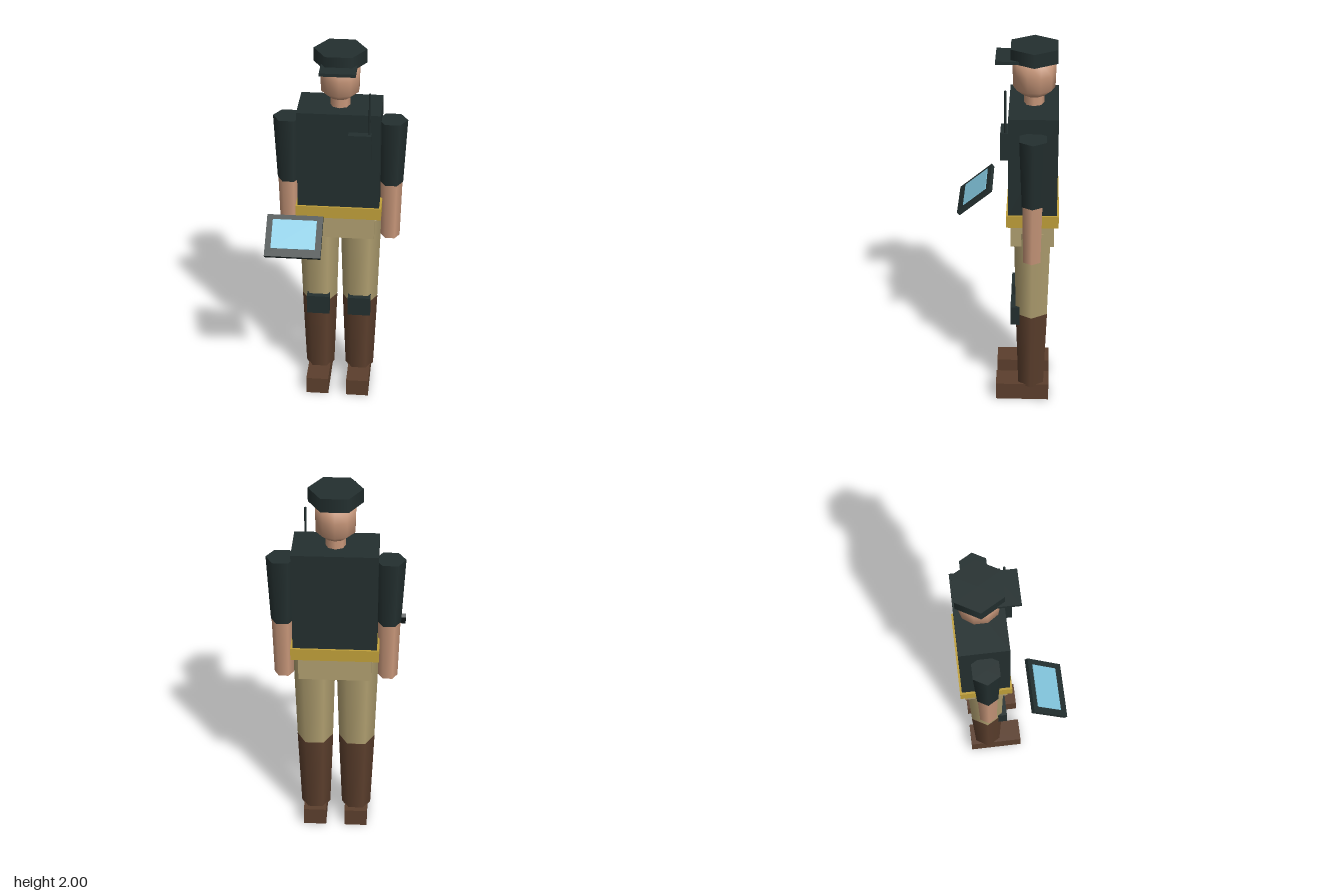
import * as THREE from 'three';

const mat = (name, color) => {
  const m = new THREE.MeshStandardMaterial({ color });
  m.name = name;
  return m;
};

export function createModel() {
  const dark = mat('dark fabric', 0x232f2f);
  const skin = mat('skin', 0xc8977a);
  const khaki = mat('khaki', 0xb09f70);
  const brown = mat('brown leather', 0x5c3f2d);
  const gold = mat('gold belt', 0xc0a03a);
  const glass = mat('screen blue', 0x84c8e0);

  const model = new THREE.Group();
  model.name = 'fieldWorker';

  // body axis sits behind the origin because the tablet reaches forward
  const body = new THREE.Group();
  body.name = 'body';
  body.position.set(0.005, 0, -0.134);
  model.add(body);

  const add = (name, geo, material, x, y, z, parent = body) => {
    const mesh = new THREE.Mesh(geo, material);
    mesh.name = name;
    mesh.position.set(x, y, z);
    parent.add(mesh);
    return mesh;
  };
  // box between heights y0 and y1
  const box = (name, material, w, d, y0, y1, x = 0, z = 0) =>
    add(name, new THREE.BoxGeometry(w, y1 - y0, d), material, x, (y0 + y1) / 2, z);
  // tapered limb with corners on the x axis
  const limb = (name, material, rTop, rBottom, y0, y1, x = 0, sides = 6) =>
    add(name, new THREE.CylinderGeometry(rTop, rBottom, y1 - y0, sides, 1, false, Math.PI / 2),
      material, x, (y0 + y1) / 2, 0);

  // trunk
  box('torso', dark, 0.42, 0.244, 1.17, 1.70);
  box('belt', gold, 0.442, 0.264, 1.11, 1.175);
  box('pelvis', khaki, 0.37, 0.22, 0.98, 1.115);

  // arms and legs
  for (const [side, s] of [['left', 1], ['right', -1]]) {
    limb(side + 'Sleeve', dark, 0.076, 0.06, 1.27, 1.625, s * 0.266);
    limb(side + 'Forearm', skin, 0.057, 0.05, 0.95, 1.275, s * 0.266);
    limb(side + 'Thigh', khaki, 0.108, 0.094, 0.55, 1.055, s * 0.11);
    limb(side + 'Boot', brown, 0.095, 0.078, 0.09, 0.552, s * 0.11);
    box(side + 'Shoe', brown, 0.122, 0.286, 0, 0.1, s * 0.111, 0.046);
    box(side + 'KneePad', dark, 0.122, 0.048, 0.49, 0.6, s * 0.111, 0.086);
  }

  // head with rounded jaw
  limb('neck', skin, 0.05, 0.05, 1.69, 1.78, 0, 8);
  const jaw = [[0, 1.738], [0.058, 1.748], [0.104, 1.785], [0.106, 1.86], [0.106, 1.94], [0, 1.96]]
    .map(([r, y]) => new THREE.Vector2(r, y));
  const head = add('head', new THREE.LatheGeometry(jaw, 10), skin, 0, 0, 0);
  head.scale.x = 0.95;

  // cap
  limb('cap', dark, 0.132, 0.132, 1.93, 2.0);
  box('capBrim', dark, 0.178, 0.12, 1.931, 1.947, 0, 0.128);

  // chest radio
  box('radio', dark, 0.116, 0.045, 1.46, 1.605, 0.109, 0.139);
  add('radioAntenna', new THREE.CylinderGeometry(0.006, 0.006, 0.23, 6), dark, 0.156, 1.71, 0.137);

  // tilted tablet
  const tablet = new THREE.Group();
  tablet.name = 'tablet';
  tablet.position.set(-0.205, 1.095, 0.172);
  tablet.rotation.x = 0.7;
  model.add(tablet);
  add('tabletCase', new THREE.BoxGeometry(0.286, 0.022, 0.224), dark, 0, 0, 0, tablet);
  add('tabletScreen', new THREE.BoxGeometry(0.225, 0.006, 0.155), glass, 0, 0.012, -0.008, tablet);

  return model;
}
